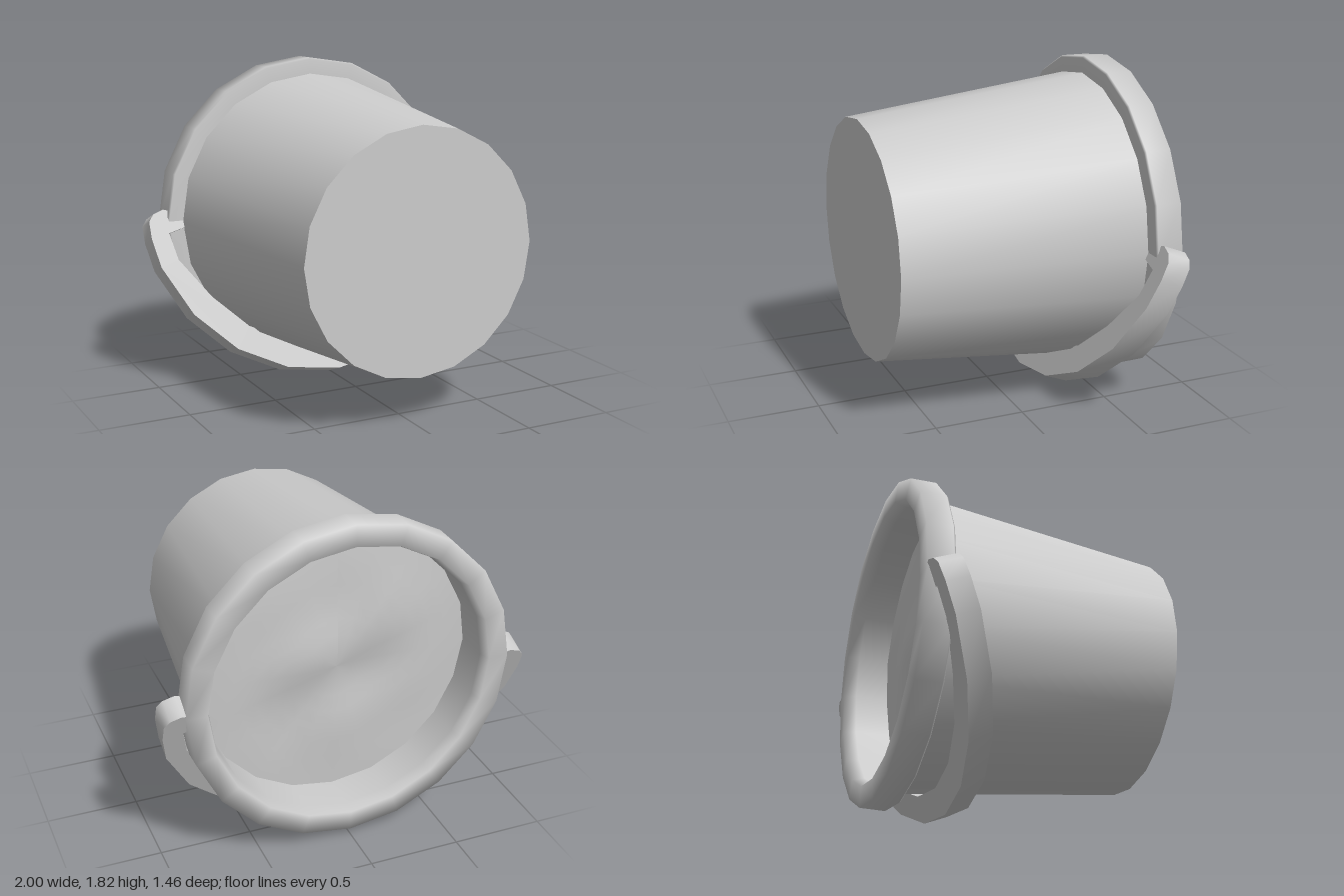
import * as THREE from 'three';
import { toCreasedNormals } from 'three/addons/utils/BufferGeometryUtils.js';

const SIDES = 20;
const material = new THREE.MeshStandardMaterial({ color: 0xcccccc });

function part(name, geometry, parent) {
  const mesh = new THREE.Mesh(geometry, material);
  mesh.name = name;
  parent.add(mesh);
  return mesh;
}

const lathe = (points) =>
  new THREE.LatheGeometry(points.map(([r, h]) => new THREE.Vector2(r, h)), SIDES);

export function createModel() {
  const model = new THREE.Group();
  model.name = 'bucket';

  // Bucket lies on its side: local up is the open end, facing -z
  const body = new THREE.Group();
  body.name = 'body';
  body.position.y = 0.93;
  body.rotation.x = -Math.PI / 2;
  model.add(body);

  // Floor and tapered outer wall
  part('outerWall', toCreasedNormals(lathe([[0, -0.73], [0.66, -0.73], [0.805, 0.6]]), 0.9), body);

  // Thick, smooth-shaded rim running on into the inner wall above the contents
  part('rimAndInnerWall', lathe([
    [0.79, 0.572], [0.885, 0.572], [0.895, 0.582], [0.893, 0.722],
    [0.78, 0.728], [0.762, 0.66], [0.755, 0.42],
  ]), body);

  // Uneven surface of the contents, slightly mounded with a step across the middle
  const rings = 8;
  const radius = 0.76;
  const profile = [];
  for (let i = 0; i <= rings; i++) profile.push([radius * (1 - i / rings), 0]);
  const contents = lathe(profile);
  const p = contents.attributes.position;
  for (let i = 0; i < p.count; i++) {
    const x = p.getX(i), z = p.getZ(i);
    const fade = 1 - (Math.hypot(x, z) / radius) ** 2;
    const bump = Math.sin(7 * x + 2 * z) * Math.cos(6 * z - 3 * x) + 0.5 * Math.sin(13 * z + 5 * x);
    p.setY(i, 0.475 + 0.015 * Math.tanh(6 * z) + fade * (0.025 + 0.015 * bump));
  }
  contents.computeVertexNormals();
  part('contents', contents, body);

  // Handle: a flat half ring whose ends turn inward to the rim
  const ring = (r, from, to) => {
    const pts = [];
    const step = Math.sign(to - from);
    for (let i = from; i !== to + step; i += step) {
      const a = (i * Math.PI * 2) / SIDES;
      pts.push(new THREE.Vector2(r * Math.sin(a), -r * Math.cos(a)));
    }
    return pts;
  };
  const end = (s) => [
    [1, -0.15], [1, -0.05], [0.97, -0.01], [0.91, 0.012],
    [0.8, -0.02], [0.8, -0.1], [0.895, -0.125], [0.865, -0.28],
  ].map(([x, y]) => new THREE.Vector2(s * x, y));
  const outline = [
    ...ring(1.02, -4, 4), ...end(1),
    ...ring(0.87, 3, -3), ...end(-1).reverse(),
  ];
  const width = 0.135;
  const handleGeometry = new THREE.ExtrudeGeometry(new THREE.Shape(outline), { depth: width, bevelEnabled: false });
  handleGeometry.translate(0, 0, -width);
  const handle = part('handle', toCreasedNormals(handleGeometry, 0.7), model);
  handle.position.set(0, 0.995, -0.595);
  handle.rotation.x = -0.39;

  return model;
}
